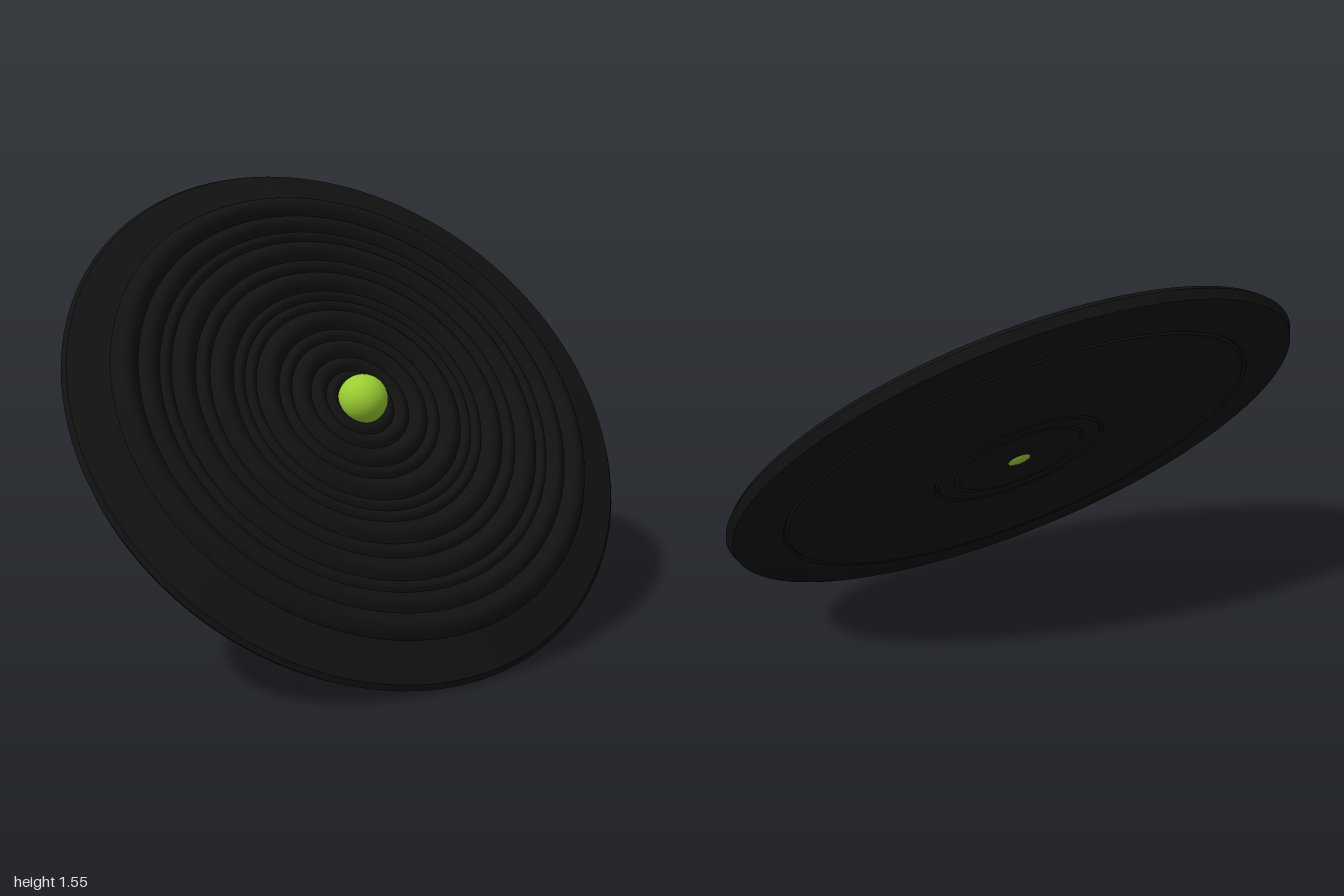
import * as THREE from 'three';
import { toCreasedNormals } from 'three/addons/utils/BufferGeometryUtils.js';

export function createModel() {
  const model = new THREE.Group();
  model.name = 'tiltedRippledDisc';
  const dark = new THREE.MeshStandardMaterial({ color: 0x111111, side: THREE.DoubleSide });
  const green = new THREE.MeshStandardMaterial({ color: 0x9acd32 });

  // Everything is made lying flat, then tilted to face forward and up
  const tilt = new THREE.Group();
  tilt.name = 'tiltedDisc';
  tilt.position.y = 0.781;
  tilt.quaternion.setFromUnitVectors(
    new THREE.Vector3(0, 1, 0), new THREE.Vector3(-0.085, 0.64, 0.764).normalize());
  model.add(tilt);

  const p = [];
  const add = (r, y) => p.push(new THREE.Vector2(r, y));

  // Back face with shallow grooves
  add(0, -0.019);
  for (const [r, y] of [[0.23, -0.02], [0.3, -0.021], [0.82, -0.025]]) {
    add(r - 0.008, y);
    add(r, y + 0.008);
    add(r + 0.008, y);
  }

  // Bevelled rim and sloping front border
  add(0.975, -0.022);
  add(0.99, -0.017);
  add(1.003, 0.012);
  add(0.99, 0.028);
  add(0.862, 0.06);

  // Concentric rounded ripples, alternately wide and narrow, dished to the centre
  const edges = [0.855, 0.775, 0.705, 0.665, 0.585, 0.535, 0.455, 0.415, 0.375,
    0.295, 0.25, 0.18, 0.125, 0.08];
  const steps = 8;
  for (let i = 0; i < edges.length - 1; i++) {
    const outer = edges[i], inner = edges[i + 1], width = outer - inner;
    for (let s = i ? 1 : 0; s <= steps; s++) {
      const t = s / steps;
      const r = outer - width * t;
      add(r, 0.035 + 0.037 * (r / 0.855) ** 2 + width * 0.32 * Math.sin(Math.PI * t));
    }
  }
  add(0, 0.035);

  const disc = new THREE.Mesh(toCreasedNormals(new THREE.LatheGeometry(p, 128), 0.6), dark);
  disc.name = 'rippledDisc';
  tilt.add(disc);

  // Ball set in the middle, just showing through at the back
  const ball = new THREE.Mesh(new THREE.SphereGeometry(0.085, 48, 32), green);
  ball.name = 'centreBall';
  ball.position.y = 0.056;
  tilt.add(ball);

  return model;
}
